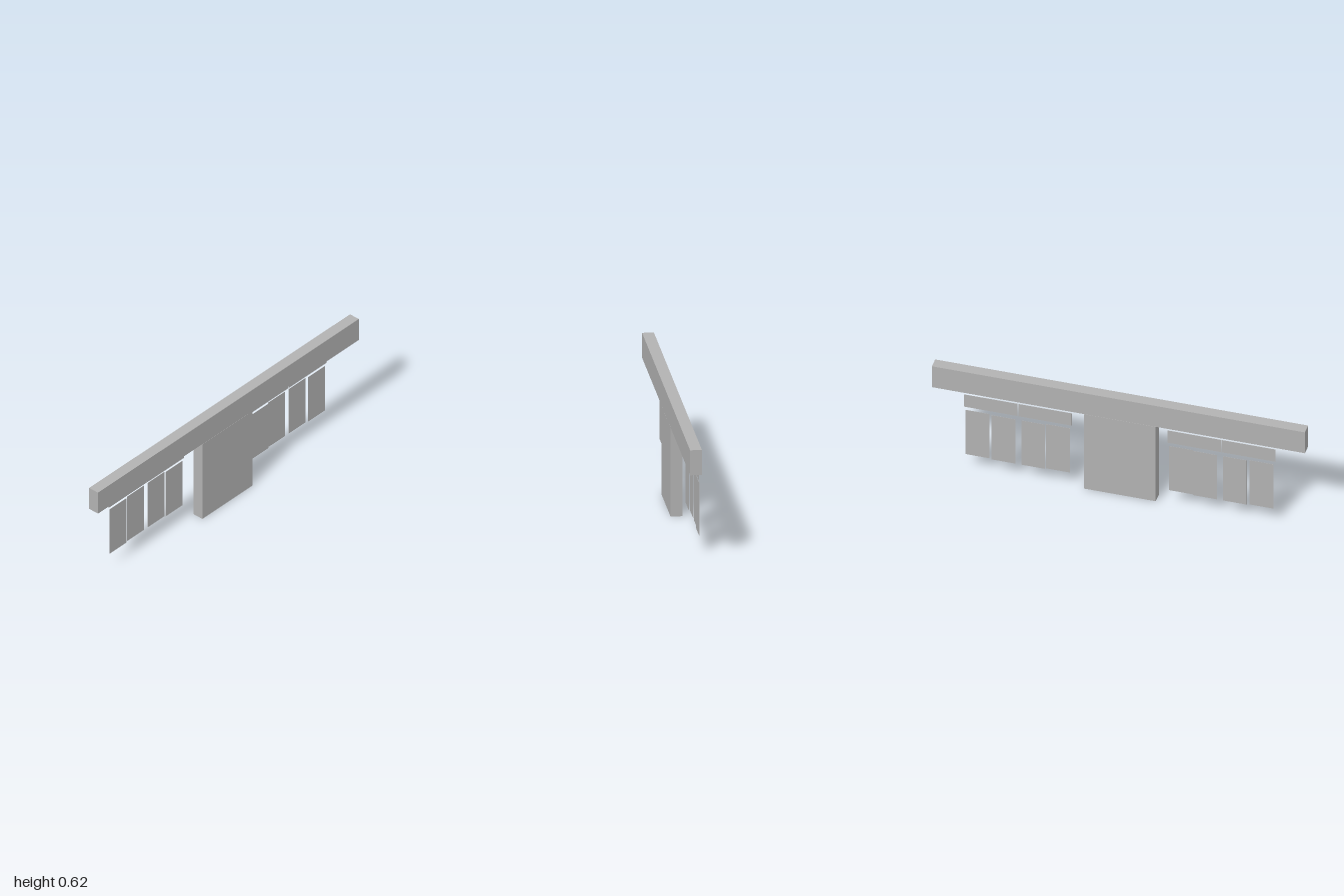
import * as THREE from 'three';

export function createModel() {
  const model = new THREE.Group();
  const grey = new THREE.MeshStandardMaterial({ color: 0xb2b2b2 });
  grey.name = 'grey';

  // Box given by its limits on each axis
  function box(name, [x0, x1], [y0, y1], [z0, z1]) {
    const mesh = new THREE.Mesh(new THREE.BoxGeometry(x1 - x0, y1 - y0, z1 - z0), grey);
    mesh.position.set((x0 + x1) / 2, (y0 + y1) / 2, (z0 + z1) / 2);
    mesh.name = name;
    model.add(mesh);
  }
  // Thin upright sheet facing sideways
  const sheet = (name, x, y, z) => box(name, [x - 0.0005, x + 0.0005], y, z);

  // Central post carrying a long beam
  const thickness = [-0.023, 0.038];
  box('post', thickness, [0, 0.481], [-0.185, 0.2]);
  box('beam', thickness, [0.482, 0.617], [-1, 1]);

  // Each wing: two header strips over four hanging panels, the middle pair set further out
  const inner = -0.032, outer = -0.038;
  const centre = 0.009;
  for (const [side, wing] of [[1, 'front'], [-1, 'back']]) {
    const span = (a, b) => [centre + side * a, centre + side * b].sort((p, q) => p - q);
    sheet(wing + 'InnerHeader', -0.029, [0.398, 0.477], span(0.257, 0.543));
    sheet(wing + 'OuterHeader', -0.029, [0.398, 0.477], span(0.547, 0.835));

    [0.266, 0.397, 0.556, 0.697].forEach((start, i) => {
      const x = i === 0 || i === 3 ? inner : outer;
      sheet(wing + 'Panel' + (i + 1), x, [0.095, 0.381], span(start, start + 0.128));
    });
  }
  return model;
}
